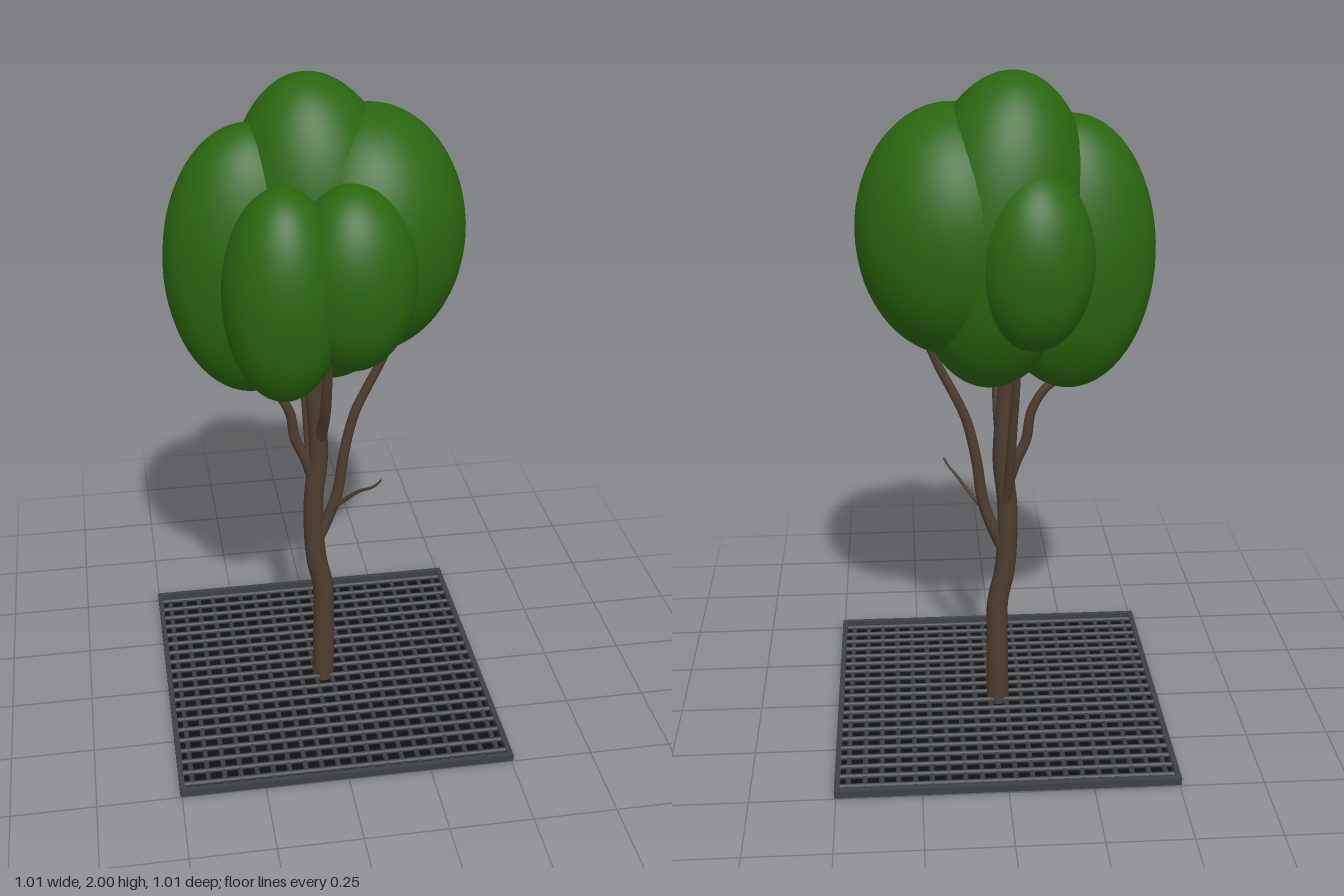
import * as THREE from 'three';

const paint = (color) => new THREE.MeshStandardMaterial({ color });

// Tube along a smooth path whose radius shrinks from r0 to r1
function taperedTube(name, points, r0, r1, material, sides = 12) {
  const curve = new THREE.CatmullRomCurve3(points.map((p) => new THREE.Vector3(...p)));
  const rings = points.length * 6;
  const geometry = new THREE.TubeGeometry(curve, rings, 1, sides, false);
  const pos = geometry.attributes.position;
  const v = new THREE.Vector3();
  for (let i = 0; i <= rings; i++) {
    const centre = curve.getPointAt(i / rings);
    const radius = THREE.MathUtils.lerp(r0, r1, i / rings);
    for (let j = 0; j <= sides; j++) {
      const k = i * (sides + 1) + j;
      v.fromBufferAttribute(pos, k).sub(centre).multiplyScalar(radius).add(centre);
      pos.setXYZ(k, v.x, v.y, v.z);
    }
  }
  const mesh = new THREE.Mesh(geometry, material);
  mesh.name = name;
  return mesh;
}

function box(name, size, position, material) {
  const mesh = new THREE.Mesh(new THREE.BoxGeometry(...size), material);
  mesh.position.set(...position);
  mesh.name = name;
  return mesh;
}

function createGrate() {
  const grate = new THREE.Group();
  grate.name = 'treeGrate';
  const iron = paint(0x3c4044);

  // Dark plate below the lattice
  grate.add(box('basePlate', [0.99, 0.006, 0.99], [0, 0.003, 0], paint(0x101010)));

  // Square frame
  for (const s of [-1, 1]) {
    grate.add(box('frameSide', [0.016, 0.022, 1.01], [s * 0.497, 0.017, 0], iron));
    grate.add(box('frameEnd', [0.978, 0.022, 0.016], [0, 0.017, s * 0.497], iron));
  }

  // Crossing round bars
  const rod = new THREE.CylinderGeometry(0.008, 0.008, 0.98, 8, 1, true);
  for (let i = -10; i < 10; i++) {
    const at = (i + 0.5) * 0.049;
    const along = new THREE.Mesh(rod, iron);
    along.rotation.x = Math.PI / 2;
    along.position.set(at, 0.015, 0);
    along.name = 'lengthBar';
    const across = new THREE.Mesh(rod, iron);
    across.rotation.z = Math.PI / 2;
    across.position.set(0, 0.018, at);
    across.name = 'crossBar';
    grate.add(along, across);
  }
  return grate;
}

function createWood() {
  const wood = new THREE.Group();
  wood.name = 'wood';
  const bark = paint(0x4d3d2e);
  wood.add(
    taperedTube('trunk', [[0, 0.005, 0], [0.002, 0.2, 0], [0, 0.36, 0], [-0.02, 0.46, 0], [-0.029, 0.58, 0],
      [-0.028, 0.7, 0], [-0.014, 0.83, 0], [-0.018, 0.95, 0], [-0.028, 1.1, 0], [-0.02, 1.35, 0]], 0.035, 0.026, bark, 16),
    taperedTube('leftBranch', [[-0.015, 0.54, 0], [0.015, 0.61, 0], [0.045, 0.7, 0], [0.065, 0.84, 0],
      [0.095, 0.97, 0], [0.14, 1.07, 0], [0.17, 1.13, 0], [0.22, 1.25, 0]], 0.019, 0.012, bark),
    taperedTube('rightBranch', [[-0.025, 0.74, 0], [-0.055, 0.83, 0], [-0.085, 0.9, 0], [-0.1, 0.99, 0],
      [-0.14, 1.06, 0], [-0.2, 1.11, 0], [-0.24, 1.2, 0]], 0.018, 0.011, bark),
    taperedTube('frontBranch', [[-0.012, 0.89, 0.005], [-0.006, 0.95, 0.035], [-0.004, 1.02, 0.07],
      [-0.004, 1.1, 0.095], [-0.004, 1.25, 0.13]], 0.018, 0.014, bark),
    taperedTube('backBranch', [[-0.022, 0.67, -0.005], [-0.03, 0.77, -0.034], [-0.035, 0.87, -0.06],
      [-0.04, 0.98, -0.08], [-0.045, 1.08, -0.1], [-0.05, 1.25, -0.13]], 0.016, 0.011, bark),
    taperedTube('twig', [[0, 0.59, 0], [0.03, 0.65, 0.012], [0.065, 0.69, 0.03], [0.1, 0.73, 0.055],
      [0.13, 0.76, 0.09], [0.145, 0.775, 0.1], [0.16, 0.8, 0.11]], 0.009, 0.003, bark, 8),
  );
  return wood;
}

function createCrown() {
  const crown = new THREE.Group();
  crown.name = 'crown';
  const leaves = paint(0x2a660f);
  const ball = new THREE.SphereGeometry(1, 48, 32);

  // Overlapping leaf masses: name, centre, radii, tilt about z
  const lobes = [
    ['middleFoliage', [-0.005, 1.545, -0.04], [0.255, 0.455, 0.245], 0.106],
    ['leftFoliage', [0.13, 1.55, -0.015], [0.275, 0.36, 0.275], 0],
    ['rightFoliage', [-0.205, 1.475, -0.015], [0.245, 0.4, 0.193], 0],
    ['frontLeftFoliage', [0.05, 1.497, 0.2], [0.178, 0.268, 0.174], 0],
    ['frontRightFoliage', [-0.14, 1.456, 0.2], [0.168, 0.308, 0.174], 0],
    ['backFoliage', [-0.09, 1.505, -0.195], [0.165, 0.255, 0.163], 0],
  ];
  for (const [name, centre, radii, tilt] of lobes) {
    const lobe = new THREE.Mesh(ball, leaves);
    lobe.name = name;
    lobe.position.set(...centre);
    lobe.scale.set(...radii);
    lobe.rotation.z = tilt;
    crown.add(lobe);
  }
  return crown;
}

export function createModel() {
  const tree = new THREE.Group();
  tree.name = 'streetTree';
  tree.add(createGrate(), createWood(), createCrown());
  return tree;
}
